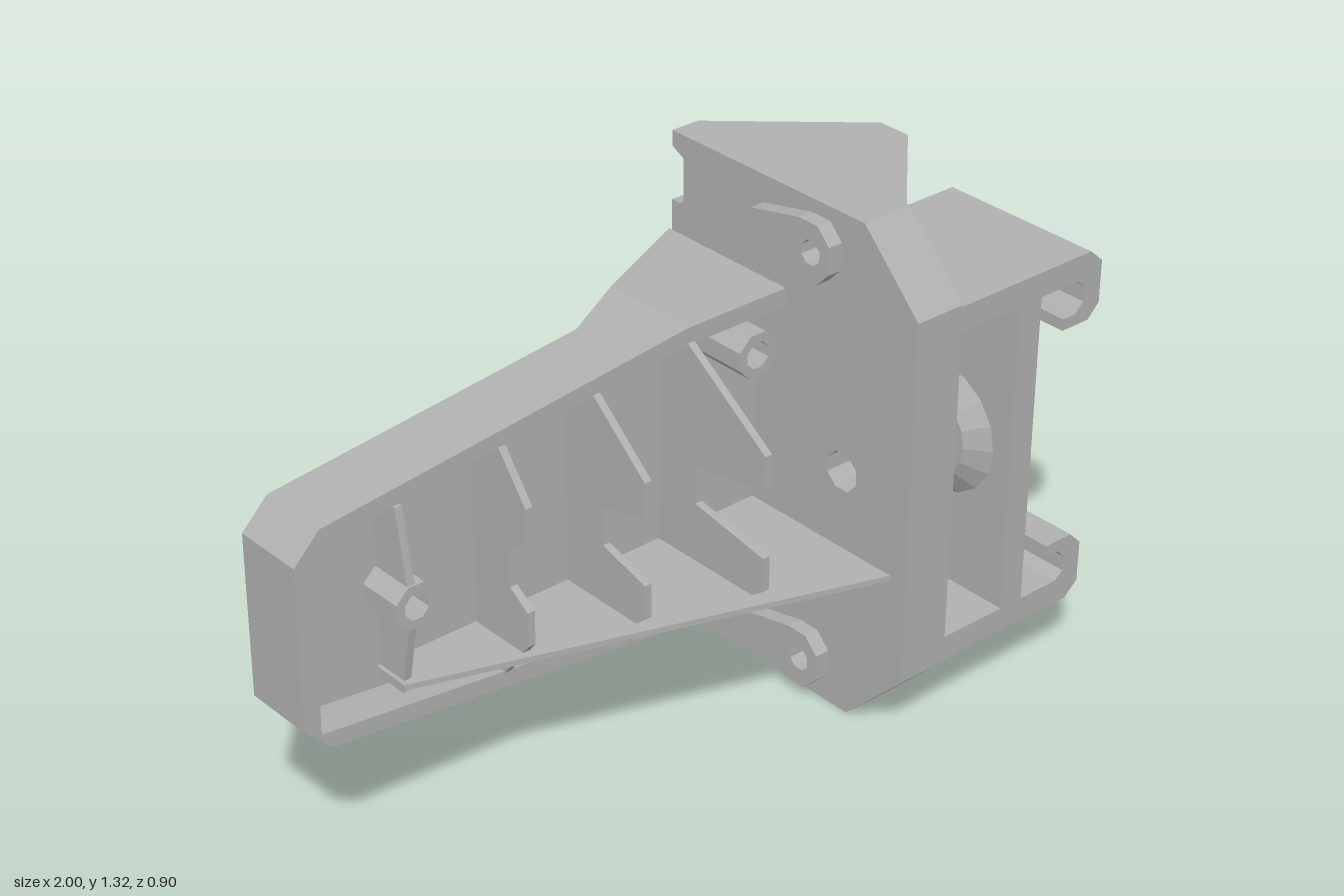
import * as THREE from 'three';

const MID = 0.66; // mirror height of the part

export function createModel() {
  const model = new THREE.Group();
  const grey = new THREE.MeshStandardMaterial({ color: 0xb0b0b0 });
  grey.name = 'moulded grey';

  const add = (name, geometry) => {
    const mesh = new THREE.Mesh(geometry, grey);
    mesh.name = name;
    model.add(mesh);
    return mesh;
  };
  const flip = (y, up) => (up ? y : 2 * MID - y);
  const faceted = (g) => { const f = g.toNonIndexed(); f.computeVertexNormals(); return f; };

  // Polygon with octagonal holes [u, v, radius]
  const shapeOf = (pts, holes = []) => {
    const s = new THREE.Shape(pts.map(([u, v]) => new THREE.Vector2(u, v)));
    for (const [u, v, r] of holes) {
      const ring = Array.from({ length: 8 }, (_, i) => {
        const a = (i + 0.5) * Math.PI / 4;
        return new THREE.Vector2(u + r * Math.cos(a), v + r * Math.sin(a));
      });
      s.holes.push(new THREE.Path(ring));
    }
    return s;
  };
  const prism = (pts, depth, holes) =>
    new THREE.ExtrudeGeometry(shapeOf(pts, holes), { depth, bevelEnabled: false });
  // Points (x, y) pushed along z
  const alongZ = (pts, z0, z1, holes) => prism(pts, z1 - z0, holes).translate(0, 0, z0);
  // Points (z, y) pushed along x
  const alongX = (pts, x0, x1, holes = []) =>
    prism(pts.map(([z, y]) => [-z, y]), x1 - x0, holes.map(([z, y, r]) => [-z, y, r]))
      .rotateY(Math.PI / 2).translate(x0, 0, 0);
  // Points (x, z) pushed along y
  const alongY = (pts, y0, y1) => prism(pts, y1 - y0).rotateX(Math.PI / 2).translate(0, y1, 0);
  const rect = (a, b, c, d) => [[a, b], [c, b], [c, d], [a, d]];
  const box = (x0, x1, y0, y1, z0, z1) => alongZ(rect(x0, y0, x1, y1), z0, z1);

  // Arm rim: lofted wall around the tapered tray [outerX, outerY, innerX, innerY, backZ]
  const half = [
    [0.4, 0.26, 0.4, 0.305, -0.39], [0.1, 0.26, 0.1, 0.305, -0.25],
    [-0.07, 0.28, -0.07, 0.325, -0.17], [-0.93, 0.38, -0.955, 0.425, -0.17],
    [-1, 0.45, -0.955, 0.427, -0.17],
  ];
  const stations = [...half,
    ...half.slice().reverse().map(([a, b, c, d, z]) => [a, 2 * MID - b, c, 2 * MID - d, z])];
  const pos = [], index = [];
  stations.forEach(([ox, oy, ix, iy, zb], i) => {
    pos.push(ox, oy, zb, ox, oy, 0.02, ix, iy, 0.02, ix, iy, zb);
    if (i === stations.length - 1) return;
    for (let k = 0; k < 4; k++) {
      const a = i * 4 + k, b = i * 4 + (k + 1) % 4;
      index.push(a, b, b + 4, a, b + 4, a + 4);
    }
  });
  const rim = new THREE.BufferGeometry();
  rim.setAttribute('position', new THREE.Float32BufferAttribute(pos, 3));
  rim.setIndex(index);
  add('armRim', faceted(rim));

  // Arm floor with screw holes, raised back panel
  const screws = [[0.27, 0.95, 0.035], [0.27, 0.37, 0.035], [-0.7, 0.66, 0.035]];
  add('armFloor', alongZ([[0.41, 0.29], [0.1, 0.29], [-0.96, 0.41], [-0.96, 0.91],
    [0.1, 1.03], [0.41, 1.03]], -0.12, -0.08, screws));
  add('backPanel', alongZ([[-0.96, 0.5], [-0.1, 0.5], [-0.1, 0.82], [-0.96, 0.82]],
    -0.2, -0.12, [screws[2]]));
  screws.forEach(([x, y, r], i) => {
    const outer = Array.from({ length: 8 }, (_, k) => {
      const a = (k + 0.5) * Math.PI / 4;
      return [x + 0.06 * Math.cos(a), y + 0.06 * Math.sin(a)];
    });
    add('armScrewBoss', alongZ(outer, -0.09, i < 2 ? 0.07 : 0.04, [[x, y, r]]));
  });

  // Cross ribs, growing towards the bracket, notched in the middle
  for (const x of [-0.44, -0.17, 0.11]) {
    const top = 0.02 + (x + 0.73) * 0.315;
    const edge = 1.04 + (Math.min(x, 0.1) - 0.1) * 0.116;
    const notch = Math.min(top, 0.1) - 0.05;
    const upper = [[-0.09, edge], [0.02, edge - 0.02], [top, 0.84], [top, 0.75],
      [notch, 0.71]];
    const lower = upper.slice().reverse().map(([z, y]) => [z, 2 * MID - y]);
    add('crossRib', alongX([...upper, ...lower], x - 0.01, x + 0.01));
  }
  // Tapered fins beside the tip boss
  for (const up of [true, false]) {
    add('tipFin', alongX([[-0.09, flip(0.9, up)], [0.0, flip(0.9, up)],
      [0.035, flip(0.71, up)], [-0.09, flip(0.71, up)]], -0.72, -0.7));
  }
  add('armShelf', alongY([[-0.73, -0.09], [-0.73, 0.02], [0.41, 0.4], [0.41, -0.09]], 0.44, 0.455));
  for (const y of [0.5, 0.8]) {
    add('backGusset', alongY([[-0.1, -0.1], [-0.1, -0.18], [0.41, -0.36], [0.41, -0.1]], y, y + 0.02));
  }

  // Mounting wall with clipped front corners, a tab and notches on the back edge
  const bores = [[0.225, MID, 0.052], [0.14, 1.21, 0.032], [0.14, 0.11, 0.032]];
  add('mountingWall', alongX([[0.27, 0], [0.45, 0.18], [0.45, 1.14], [0.27, 1.32],
    [-0.38, 1.32], [-0.38, 1.28], [-0.34, 1.26], [-0.34, 1.15], [-0.38, 1.11],
    [-0.38, 1.02], [-0.45, 0.99], [-0.45, 0.88], [-0.38, 0.85],
    [-0.38, 0.46], [-0.31, 0.44], [-0.31, 0.33], [-0.38, 0.3],
    [-0.38, 0.21], [-0.425, 0.18], [-0.425, 0.06], [-0.38, 0.04], [-0.38, 0]], 0.4, 0.48, bores));

  // Thick column with a wavy back edge
  const wave = [[-0.055, 1.32], [-0.055, 0.99], [0, 0.94], [0.05, 0.88], [0.045, 0.82], [0.012, 0.74]];
  add('column', alongX([[0.27, 0], [0.45, 0.18], [0.45, 1.14], [0.27, 1.32], ...wave, [0, MID],
    ...wave.slice().reverse().map(([z, y]) => [z, 2 * MID - y])], 0.48, 0.54, bores));

  // Front plate with a bored conical boss behind it
  add('frontPlate', alongX(rect(0, 0.22, 0.45, 1.1), 0.73, 0.8, [bores[0]]));
  const cone = new THREE.LatheGeometry(
    [[0.17, 0], [0.11, 0.04], [0.052, 0.04], [0.052, 0]].map(([r, y]) => new THREE.Vector2(r, y)), 16);
  add('plateBoss', faceted(cone.rotateZ(Math.PI / 2))).position.set(0.73, MID, 0.225);

  for (const up of [true, false]) {
    // Hooked rail
    const hook = [[0.5, 1.135], [0.96, 1.135], [1, 1.1], [1, 0.99], [0.965, 0.955], [0.88, 0.955],
      [0.88, 0.985], [0.92, 0.985], [0.945, 1.01], [0.945, 1.05], [0.92, 1.07], [0.5, 1.07]];
    add('hookRail', alongZ(hook.map(([x, y]) => [x, flip(y, up)]), 0, 0.45));

    // Hollow ear, open at the back
    const ear = [[0.4, -0.38], [0.48, -0.38], [0.8, -0.09], [0.8, 0], [0.53, 0.27], [0.4, 0.27]];
    for (const [a, b] of [[1.28, 1.32], [1.1, 1.14]]) {
      const y0 = flip(a, up), y1 = flip(b, up);
      add('earPlate', alongY(ear, Math.min(y0, y1), Math.max(y0, y1)));
    }
    const c = flip(1.21, up);
    const slant = add('earSlantedWall',
      alongZ(rect(0, c - 0.08, 0.382, c + 0.08), -0.035, 0, [[0.2, c, 0.036]]));
    slant.rotation.y = Math.PI / 4;
    slant.position.set(0.53, 0, 0.27);
    add('earSideWall', box(0.77, 0.8, c - 0.08, c + 0.08, -0.09, 0));

    // Bored pad on the arm side
    add('wallPad', alongX([[-0.06, c - 0.04], [0.1, c - 0.075], [0.16, c - 0.075], [0.2, c - 0.035],
      [0.2, c + 0.035], [0.16, c + 0.075], [0.1, c + 0.075], [-0.06, c + 0.04]],
      0.36, 0.4, [[0.14, c, 0.032]]));
  }
  return model;
}
